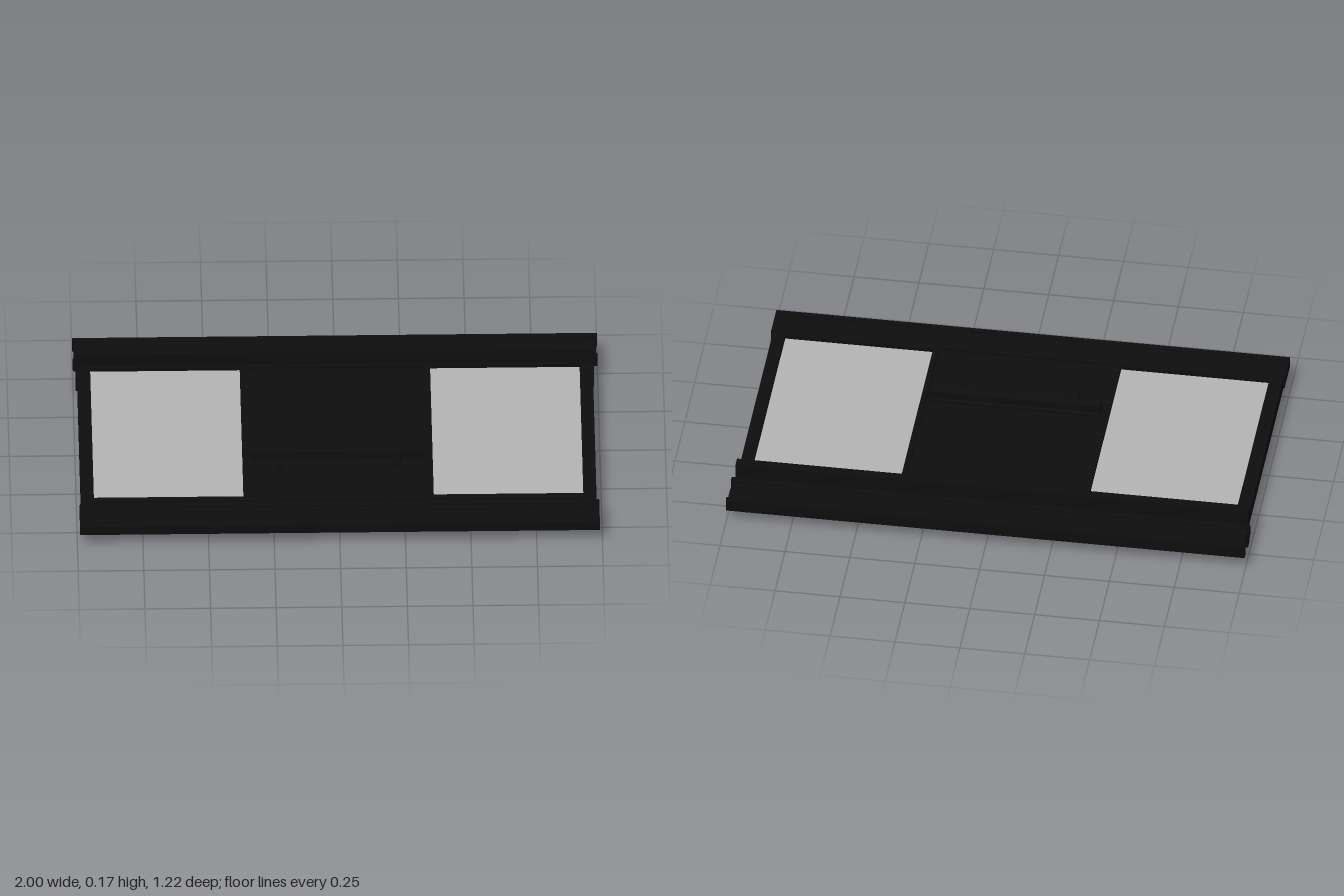
import * as THREE from 'three';
import { RoundedBoxGeometry } from 'three/addons/geometries/RoundedBoxGeometry.js';

export function createModel() {
  const model = new THREE.Group();
  model.name = 'panelledScreen';
  const black = new THREE.MeshStandardMaterial({ name: 'blackPaint', color: 0x0d0d0d });
  const grey = new THREE.MeshStandardMaterial({ name: 'greyGlass', color: 0xb2b2b2 });

  function add(name, geometry, material = black) {
    const mesh = new THREE.Mesh(geometry, material);
    mesh.name = name;
    model.add(mesh);
    return mesh;
  }
  // Box given by its limits along each axis
  function box(name, x0, x1, y0, y1, z0, z1, material = black, radius = 0) {
    const size = [x1 - x0, y1 - y0, z1 - z0];
    const g = radius ? new RoundedBoxGeometry(...size, 2, radius) : new THREE.BoxGeometry(...size);
    g.translate((x0 + x1) / 2, (y0 + y1) / 2, (z0 + z1) / 2);
    return add(name, g, material);
  }
  // Flat slab with rectangular openings; rectangles are [x0, x1, z0, z1]
  function rect(path, [x0, x1, z0, z1]) {
    path.moveTo(x0, -z1);
    path.lineTo(x1, -z1);
    path.lineTo(x1, -z0);
    path.lineTo(x0, -z0);
    path.closePath();
    return path;
  }
  function frame(name, outer, openings, y0, y1) {
    const shape = rect(new THREE.Shape(), outer);
    openings.forEach((o) => shape.holes.push(rect(new THREE.Path(), o)));
    const g = new THREE.ExtrudeGeometry(shape, { depth: y1 - y0, bevelEnabled: false });
    g.rotateX(-Math.PI / 2).translate(0, y0, 0);
    return add(name, g);
  }

  // Main frame: a thick core with slightly narrower faces above and below
  const panes = [[-0.935, -0.365, -0.4, 0.44], [0.36, 0.93, -0.4, 0.44]];
  const centre = [-0.345, 0.34, -0.4, 0.45];
  frame('frameCore', [-0.985, 0.98, -0.42, 0.47], [...panes, centre], 0.062, 0.113);
  for (const [y0, y1] of [[0.055, 0.062], [0.113, 0.12]]) {
    frame('frameFace', [-0.965, 0.96, -0.415, 0.465], [...panes, centre], y0, y1);
  }

  // Infill: two panes and the recessed centre board
  panes.forEach(([x0, x1, z0, z1]) => box('pane', x0, x1, 0.07, 0.105, z0, z1, grey));
  box('centreBoard', centre[0], centre[1], 0.066, 0.109, centre[2], centre[3]);

  // Front border with six sunken fields on both faces
  const fields = [];
  for (let i = 0; i < 6; i++) {
    const x = (i - 2.5) * 0.325;
    fields.push([x - 0.15, x + 0.15, 0.515, 0.588]);
  }
  frame('frontBorder', [-0.99, 0.99, 0.49, 0.61], fields, 0.068, 0.107);
  fields.forEach(([x0, x1, z0, z1]) => {
    box('borderField', x0, x1, 0.073, 0.102, z0, z1);
    box('borderFieldRaised', x0 + 0.012, x1 - 0.012, 0.07, 0.105, z0 + 0.012, z1 - 0.012);
  });
  box('frontMoulding', -0.99, 0.99, 0.06, 0.115, 0.468, 0.492, black, 0.006);

  // Wide ledge and stepped cornice along the back
  box('ledge', -0.99, 0.985, 0, 0.17, -0.46, -0.42);
  box('corniceStep', -1, 1, 0.061, 0.114, -0.483, -0.46, black, 0.006);
  box('corniceBead', -0.995, 0.995, 0.068, 0.107, -0.51, -0.48, black, 0.008);
  box('corniceNeck', -0.985, 0.985, 0.076, 0.099, -0.53, -0.505);
  box('corniceBand', -0.995, 0.995, 0.068, 0.107, -0.592, -0.525, black, 0.004);
  box('corniceCap', -1, 1, 0.061, 0.114, -0.61, -0.588, black, 0.004);

  // Shelf rail on each face, with a bevelled front edge
  for (const side of [1, -1]) {
    const points = [
      [0.105, 0.015], [0.185, 0.015], [0.185, 0.052], [0.178, 0.058], [0.165, 0.076],
      [0.143, 0.076], [0.133, 0.065], [0.133, 0.035], [0.125, 0.03], [0.125, 0.015],
    ].slice(1).map(([z, h]) => new THREE.Vector2(-z, 0.088 + side * h));
    const g = new THREE.ExtrudeGeometry(new THREE.Shape(points), { depth: 0.66, bevelEnabled: false });
    g.rotateY(Math.PI / 2).translate(-0.33, 0, 0);
    add('shelfRail', g);
    // Brackets below the shelf
    for (const x of [-0.225, 0.225]) {
      const top = side > 0 ? 0.135 : 0.055;
      box('shelfBracket', x - 0.013, x + 0.013, Math.min(0.088, top), Math.max(0.088, top),
        0.16, 0.25, black, 0.008);
    }
  }
  return model;
}
